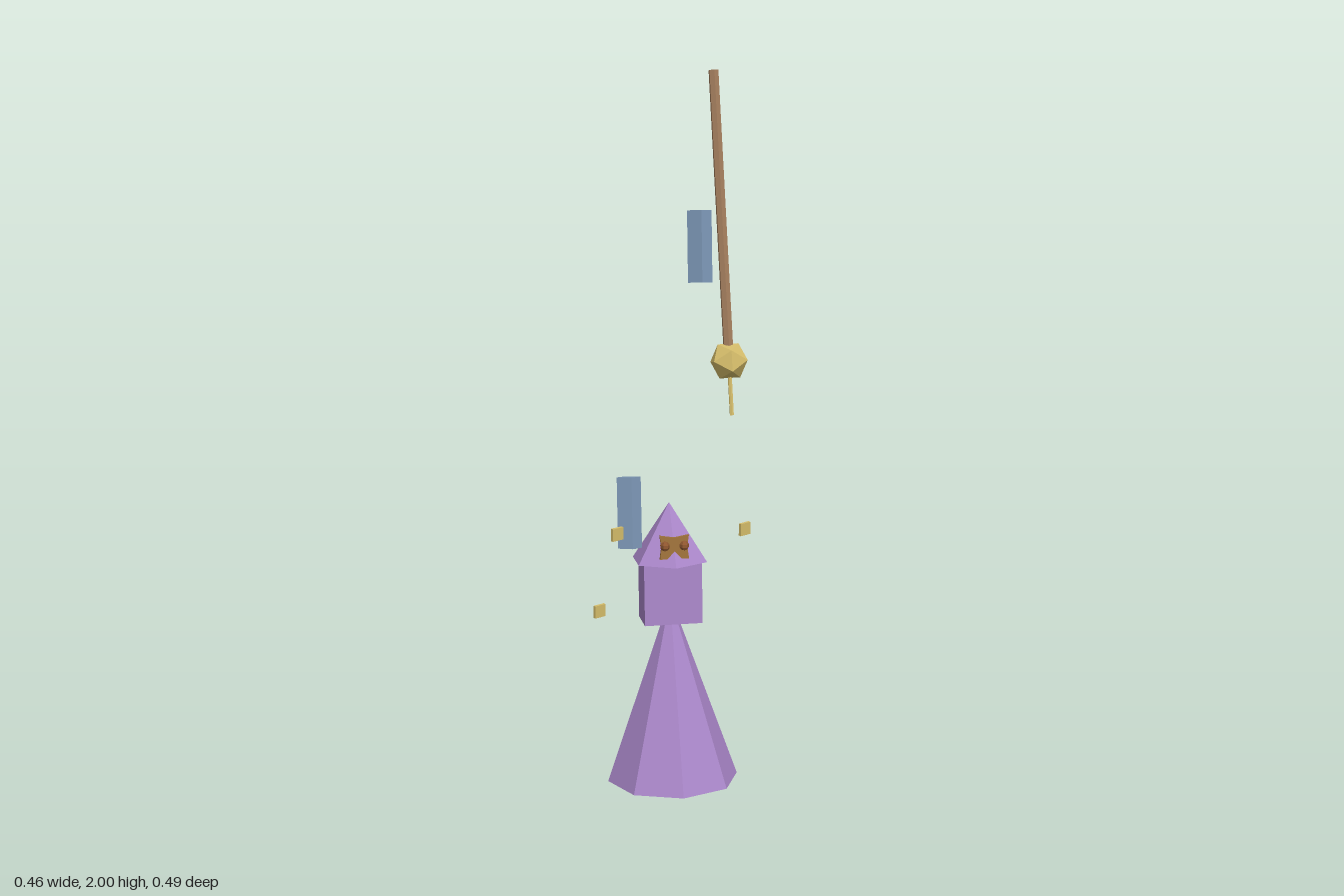
import * as THREE from 'three';

const mat = (name, color) => {
  const m = new THREE.MeshStandardMaterial({ color, flatShading: true });
  m.name = name;
  return m;
};
const deg = THREE.MathUtils.degToRad;

export function createModel() {
  const purple = mat('purple', 0xa986c8);
  const blue = mat('slateBlue', 0x7f9aba);
  const gold = mat('gold', 0xd4bc6a);
  const wood = mat('wood', 0xa17c5c);
  const bronze = mat('bronze', 0xa0733c);
  const copper = mat('copper', 0x8f5730);

  const model = new THREE.Group();
  model.name = 'floatingMage';

  const add = (parent, name, geometry, material, x = 0, y = 0, z = 0) => {
    const mesh = new THREE.Mesh(geometry, material);
    mesh.name = name;
    mesh.position.set(x, y, z);
    parent.add(mesh);
    return mesh;
  };

  // Leaning figure: robe, torso and pointed hood share one axis
  const figure = new THREE.Group();
  figure.name = 'figure';
  figure.position.set(-0.015, 0.0165, 0.055);
  figure.rotation.x = deg(-4.8);
  model.add(figure);
  add(figure, 'robe', new THREE.ConeGeometry(0.187, 0.535, 8), purple, 0, 0.2675, 0);
  add(figure, 'torso', new THREE.BoxGeometry(0.164, 0.18, 0.11), purple, 0, 0.557, 0.004);
  add(figure, 'hood', new THREE.ConeGeometry(0.112, 0.165, 6), purple, 0, 0.7245, 0.003);

  // Mask plate with a notch under the bridge, and two round lenses
  const mask = new THREE.Group();
  mask.name = 'mask';
  mask.position.set(0, 0.697, 0.084);
  figure.add(mask);
  const outline = new THREE.Shape([
    [-0.041, 0.033], [0, 0.026], [0.041, 0.033], [0.036, 0], [0.041, -0.034],
    [0.02, -0.034], [0, -0.012], [-0.02, -0.034], [-0.041, -0.034], [-0.036, 0],
  ].map(([x, y]) => new THREE.Vector2(x, y)));
  add(mask, 'maskPlate', new THREE.ExtrudeGeometry(outline, { depth: 0.01, bevelEnabled: false }),
    bronze, 0, 0, -0.005);
  for (const side of [-1, 1]) {
    add(mask, side > 0 ? 'leftLens' : 'rightLens', new THREE.SphereGeometry(0.014, 6, 5),
      copper, side * 0.027, 0.004, 0.007);
  }

  // Staff: hexagonal pole, faceted orb and thin spike on one slanted axis
  const staff = new THREE.Group();
  staff.name = 'staff';
  staff.position.set(0.163, 1.209, -0.058);
  staff.quaternion.setFromUnitVectors(new THREE.Vector3(0, 1, 0),
    new THREE.Vector3(-0.016, 0.788, -0.172).normalize());
  model.add(staff);
  add(staff, 'pole', new THREE.CylinderGeometry(0.0145, 0.0145, 0.805, 6), wood, 0, 0.4035, 0);
  add(staff, 'orb', new THREE.IcosahedronGeometry(0.056, 0), gold);
  add(staff, 'spike', new THREE.CylinderGeometry(0.006, 0.006, 0.11, 6), gold, 0, -0.097, 0);

  // Floating square prisms
  for (const [name, x, y, z, tilt, yaw] of [
    ['upperPrism', 0.0905, 1.523, -0.121, -11, 0],
    ['lowerPrism', -0.126, 0.793, -0.018, -12.5, 5],
  ]) {
    const prism = add(model, name, new THREE.CylinderGeometry(0.0345, 0.0345, 0.2, 4), blue, x, y, z);
    prism.rotation.set(deg(tilt), deg(yaw), deg(-1));
  }

  // Floating gold tiles
  [[-0.173, 0.76, 0.07], [-0.212, 0.505, -0.022], [0.212, 0.715, -0.06]].forEach((p, i) => {
    const tile = add(model, 'tile' + (i + 1), new THREE.BoxGeometry(0.036, 0.036, 0.009), gold, ...p);
    tile.rotation.y = deg(30);
  });

  return model;
}
